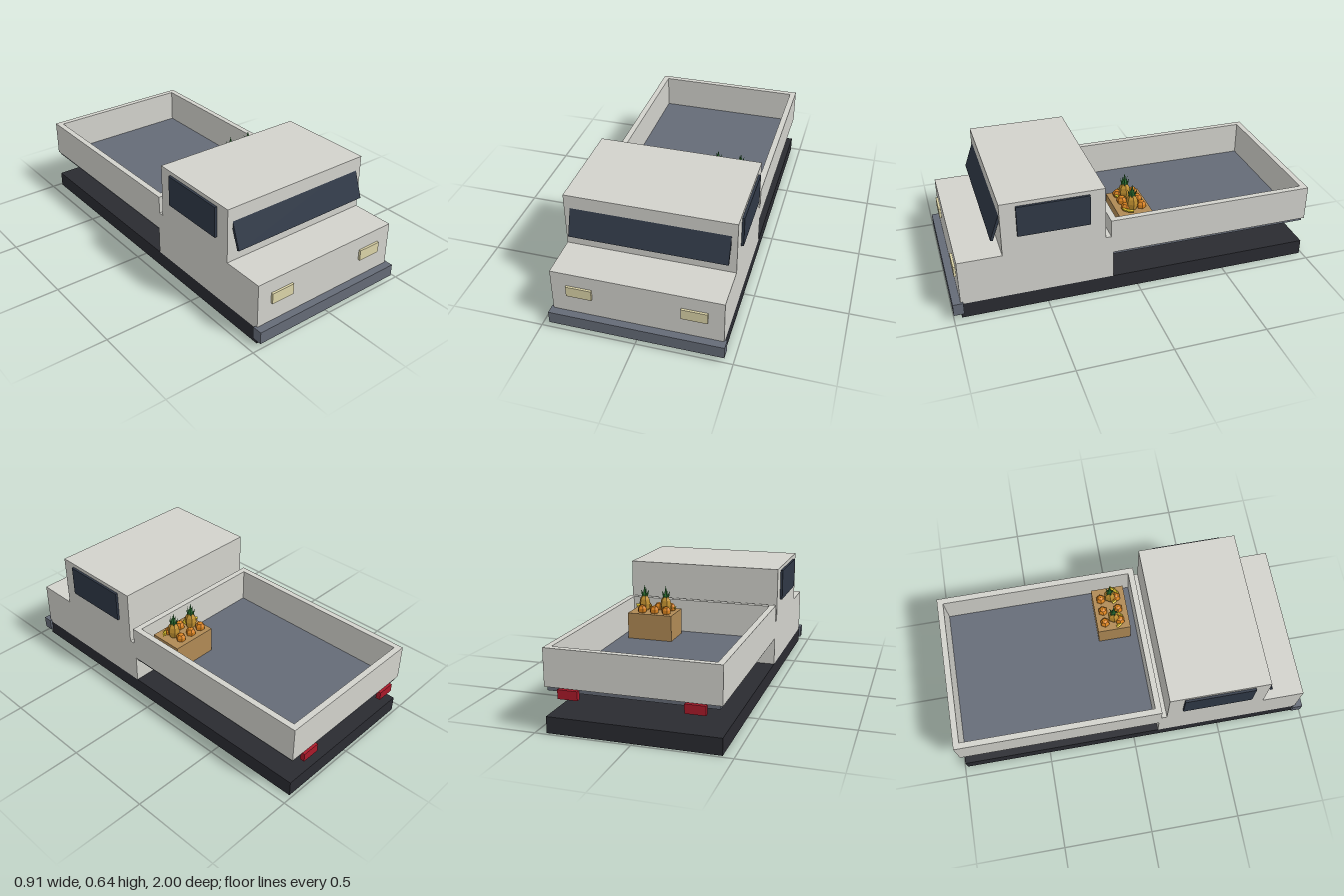
import * as THREE from 'three';

const mat = (color, extra = {}) => {
  const m = new THREE.MeshStandardMaterial({ color, ...extra });
  return m;
};

export function createModel() {
  const truck = new THREE.Group();
  truck.name = 'pickupTruck';

  const paint = mat(0xd2d2cc), steel = mat(0x656b77), dark = mat(0x2a2b31);
  const glass = mat(0x2f3846), lamp = mat(0xdcd4a8), red = mat(0xaa1a2a);
  const wood = mat(0xb08a55);
  const orange = mat(0xd9821e, { flatShading: true });
  const gold = mat(0xc09030, { flatShading: true });
  const green = mat(0x2f7a35, { flatShading: true });
  const yellow = mat(0xe6c92e, { flatShading: true });

  const add = (name, geometry, material, x, y, z, parent = truck) => {
    const mesh = new THREE.Mesh(geometry, material);
    mesh.name = name;
    mesh.position.set(x, y, z);
    parent.add(mesh);
    return mesh;
  };
  // Box given by its limits on each axis
  const box = (name, material, [x0, x1], [y0, y1], [z0, z1], parent) =>
    add(name, new THREE.BoxGeometry(x1 - x0, y1 - y0, z1 - z0), material,
      (x0 + x1) / 2, (y0 + y1) / 2, (z0 + z1) / 2, parent);

  // Chassis and cab
  const W = 0.443;
  box('chassis', dark, [-W, W], [0, 0.086], [-0.985, 0.958]);
  box('frontBumper', steel, [-0.456, 0.456], [0.031, 0.098], [0.945, 1]);
  box('lowerCab', paint, [-W, W], [0.086, 0.339], [0.14, 0.958]);
  box('upperCab', paint, [-W, W], [0.339, 0.636], [0.18, 0.725]);

  // Sloping windshield, its upper end sunk into the cab
  const windshield = add('windshield', new THREE.BoxGeometry(0.824, 0.2, 0.014), glass, 0, 0.512, 0.735);
  windshield.rotation.x = -0.34;

  // Load bed
  box('bedFloor', steel, [-0.43, 0.43], [0.22, 0.245], [-0.978, 0.14]);
  const T = 0.033;
  box('bedFrontWall', paint, [-W, W], [0.24, 0.435], [0.15 - T, 0.15]);
  box('tailgate', paint, [-W, W], [0.24, 0.435], [-0.987, -0.987 + T]);

  // Mirrored parts
  for (const s of [-1, 1]) {
    const span = (a, b) => (s > 0 ? [a, b] : [-b, -a]);
    const side = s > 0 ? 'left' : 'right';
    box(side + 'BedWall', paint, span(W - T, W), [0.24, 0.435], [-0.987 + T, 0.15 - T]);
    box(side + 'Window', glass, span(W - 0.01, 0.456), [0.445, 0.615], [0.262, 0.643]);
    box(side + 'Headlight', lamp, span(0.228, 0.362), [0.205, 0.264], [0.95, 0.97]);
    box(side + 'TailLight', red, span(0.265, 0.368), [0.19, 0.237], [-1, -0.975]);
  }

  // Fruit crate in the bed
  const crate = new THREE.Group();
  crate.name = 'fruitCrate';
  truck.add(crate);
  box('crateBox', wood, [0.1, 0.36], [0.245, 0.393], [-0.11, 0.075], crate);

  // Two rows of oranges
  const orangeGeo = new THREE.SphereGeometry(0.028, 6, 5);
  for (const z of [-0.065, 0.022])
    for (const x of [0.145, 0.217, 0.29])
      add('orange', orangeGeo, orange, x, 0.408, z, crate);

  // Pineapples with a central spike and a ring of leaves
  const bodyGeo = new THREE.SphereGeometry(0.033, 6, 6).scale(1, 1.6, 1);
  const spikeGeo = new THREE.ConeGeometry(0.018, 0.08, 5);
  const leafGeo = new THREE.ConeGeometry(0.008, 0.045, 4).translate(0, 0.022, 0);
  for (const x of [0.165, 0.293]) {
    const pineapple = new THREE.Group();
    pineapple.name = 'pineapple';
    pineapple.position.set(x, 0.432, -0.012);
    crate.add(pineapple);
    add('pineappleBody', bodyGeo, gold, 0, 0, 0, pineapple);
    add('pineappleCrown', spikeGeo, green, 0, 0.07, 0, pineapple);
    for (let i = 0; i < 5; i++) {
      const a = (i / 5) * Math.PI * 2;
      const leaf = add('pineappleLeaf', leafGeo, green, Math.sin(a) * 0.01, 0.04, Math.cos(a) * 0.01, pineapple);
      leaf.rotation.set(0.35, a, 0, 'YXZ');
    }
  }

  // Curved bananas along the front of the crate
  const banana = (x) => {
    const curve = new THREE.QuadraticBezierCurve3(
      new THREE.Vector3(-0.05, 0.012, -0.025),
      new THREE.Vector3(0, 0, 0.06),
      new THREE.Vector3(0.05, 0.012, -0.025));
    add('banana', new THREE.TubeGeometry(curve, 8, 0.009, 5), yellow, x, 0.402, 0.02, crate);
  };
  [0.153, 0.302].forEach(banana);

  return truck;
}
